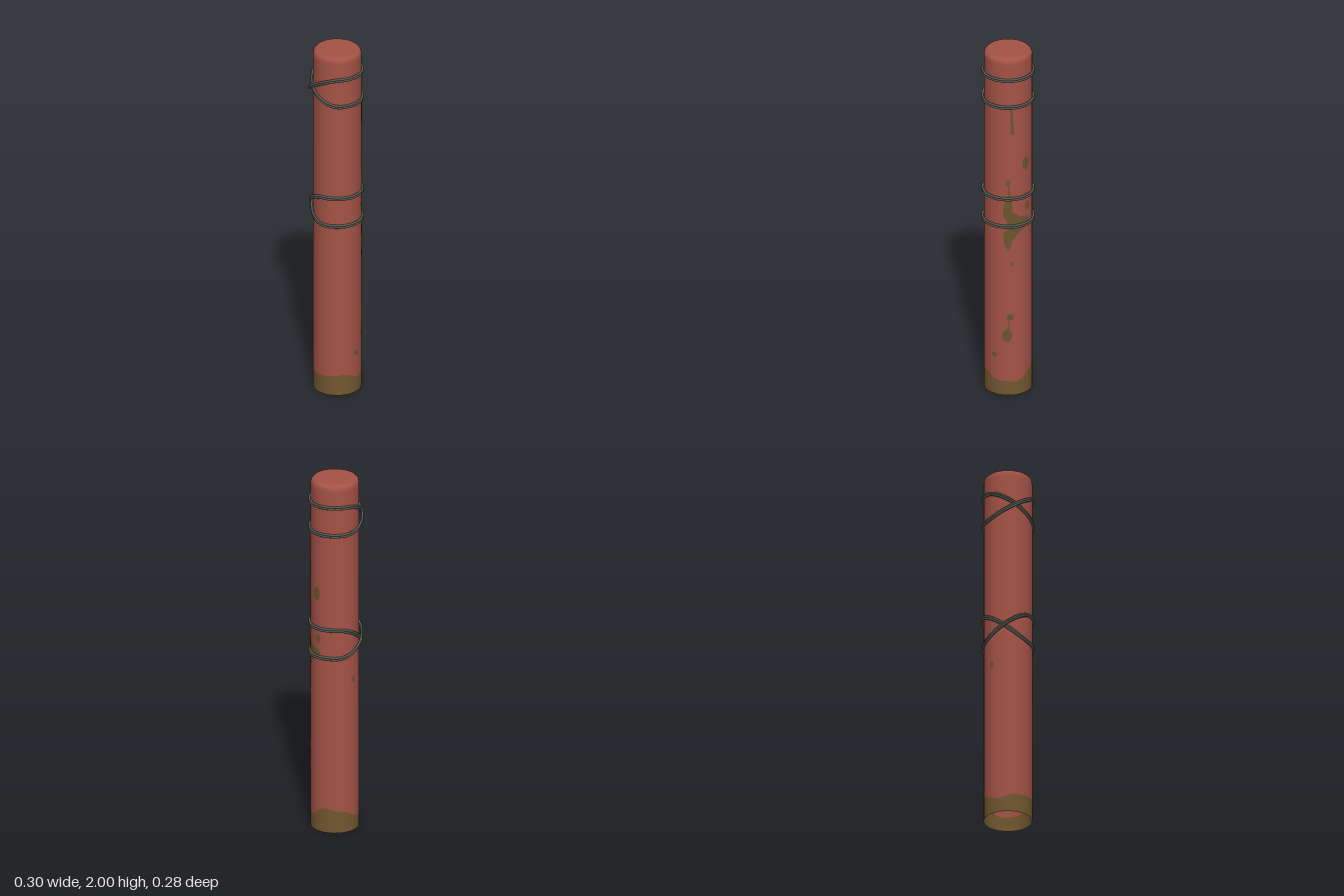
import * as THREE from 'three';

const R = 0.129, CX = 0.005, CZ = 0.002, SIDES = 32;
const rad = THREE.MathUtils.degToRad;

const mat = (name, color, side = THREE.FrontSide) => {
  const m = new THREE.MeshStandardMaterial({ color, side });
  m.name = name;
  return m;
};

// Azimuth in degrees runs from +x through -z
const around = (deg, y, r) => new THREE.Vector3(r * Math.cos(rad(deg)), y, -r * Math.sin(rad(deg)));

// Uneven top edge of the dirt band, one height every 45 degrees
const EDGE = [0.08, 0.14, 0.12, 0.08, 0.105, 0.11, 0.12, 0.085];
function edgeHeight(x, z) {
  const t = ((Math.atan2(-z, x) / (Math.PI / 4)) + 8) % 8;
  const i = Math.floor(t) % 8, f = t - Math.floor(t);
  const s = f * f * (3 - 2 * f);
  return EDGE[i] * (1 - s) + EDGE[(i + 1) % 8] * s;
}

// Revolve a profile and let one of its rings follow the dirt edge
function lathe(profile, edgeRing) {
  const g = new THREE.LatheGeometry(profile.map(p => new THREE.Vector2(...p)), SIDES);
  const pos = g.attributes.position, n = profile.length;
  for (let i = edgeRing; i < pos.count; i += n) {
    pos.setY(i, edgeHeight(pos.getX(i), pos.getZ(i)));
  }
  return g;
}

// Thin curved stain from rows of [height, start azimuth, end azimuth], top down
function stain(rows) {
  const cols = 6, g = new THREE.PlaneGeometry(1, 1, cols, rows.length - 1);
  const pos = g.attributes.position;
  rows.forEach(([y, a, b], r) => {
    for (let c = 0; c <= cols; c++) {
      const p = around(a + (b - a) * c / cols, y, R + 0.002);
      pos.setXYZ(r * (cols + 1) + c, p.x, p.y, p.z);
    }
  });
  g.computeVertexNormals();
  return g;
}

// Rounded spot
function spot(az, y, halfAngle, halfHeight) {
  return stain([1, 0.6, 0, -0.6, -1].map(k => {
    const w = halfAngle * (0.25 + 0.75 * Math.sqrt(1 - k * k));
    return [y + k * halfHeight, az - w, az + w];
  }));
}

// Wire wound twice round the pole, its two turns swapping height at a crossing
function wire(midY, halfGap, crossAz, spread, bulge, lift) {
  const pts = [], steps = 44;
  for (let i = 0; i < steps; i++) {
    const deg = i * 720 / steps, turn = deg < 360 ? 0 : 1;
    const d = THREE.MathUtils.clamp((deg % 360 - crossAz) / spread, -1, 1);
    const s = -Math.sin(d * Math.PI / 2) * (turn ? -1 : 1);
    const out = turn ? bulge * Math.pow(Math.cos(d * Math.PI / 2), 2) : 0;
    pts.push(around(deg, midY + halfGap * s + lift, 0.1355 + out));
  }
  return new THREE.TubeGeometry(new THREE.CatmullRomCurve3(pts, true), 96, 0.0065, 6, true);
}

export function createModel() {
  const model = new THREE.Group();
  model.name = 'wiredPole';
  const paint = mat('red paint', 0xa55346, THREE.DoubleSide);
  const dirt = mat('brown dirt', 0x72572f, THREE.DoubleSide);
  const moss = mat('olive stain', 0x6c552f, THREE.DoubleSide);
  const steel = mat('grey wire', 0x5a5c56);

  const add = (name, geo, material, parent = model) => {
    const m = new THREE.Mesh(geo, material);
    m.name = name;
    parent.add(m);
    return m;
  };

  const pole = new THREE.Group();
  pole.name = 'pole';
  pole.position.set(CX, 0, CZ);
  model.add(pole);

  // Hollow pole with a softened top edge
  add('poleBody', lathe([[R, 0.1], [R, 1.96], [R, 1.975], [0.125, 1.988],
    [0.115, 1.998], [0.105, 2], [0, 2]], 0), paint, pole);
  add('dirtBand', lathe([[R, 0], [R, 0.1]], 1), dirt, pole);

  // Stains, mostly down the +x face
  const stains = [
    stain([[1.7, -17, -12], [1.64, -18, -11], [1.58, -17, -9], [1.55, -16, -9]]),
    spot(23, 1.365, 10, 0.037),
    spot(-23, 1.26, 5, 0.02),
    stain([[1.25, -23, -21], [1.18, -24, -17], [1.13, -33, -13], [1.09, -35, -12],
      [1.06, -33, 5], [1.05, -30, 32], [1.02, -25, 34], [0.99, -26, 22], [0.97, -31, 8],
      [0.95, -34, -2], [0.91, -33, -14], [0.88, -27, -18], [0.86, -25, -21]]),
    spot(28, 1.11, 6, 0.025),
    spot(-14, 0.78, 3, 0.014),
    spot(-18, 0.465, 8, 0.02),
    stain([[0.46, -21, -18], [0.39, -25, -21]]),
    spot(-25, 0.355, 12, 0.037),
    spot(-57, 0.235, 7, 0.015),
    spot(118, 0.87, 5, 0.018),
  ];
  stains.forEach((g, i) => add('stain' + (i + 1), g, moss, pole));

  // Two wire bindings, each a pair of strands lying together
  const bindings = [
    ['upperWire', 1.795, 0.08, 178, 85, 0.012],
    ['lowerWire', 1.088, 0.082, 150, 75, 0.008],
  ];
  for (const [name, ...shape] of bindings) {
    const group = new THREE.Group();
    group.name = name;
    pole.add(group);
    for (const lift of [-0.0055, 0.0055]) add(name + 'Strand', wire(...shape, lift), steel, group);
  }
  return model;
}
